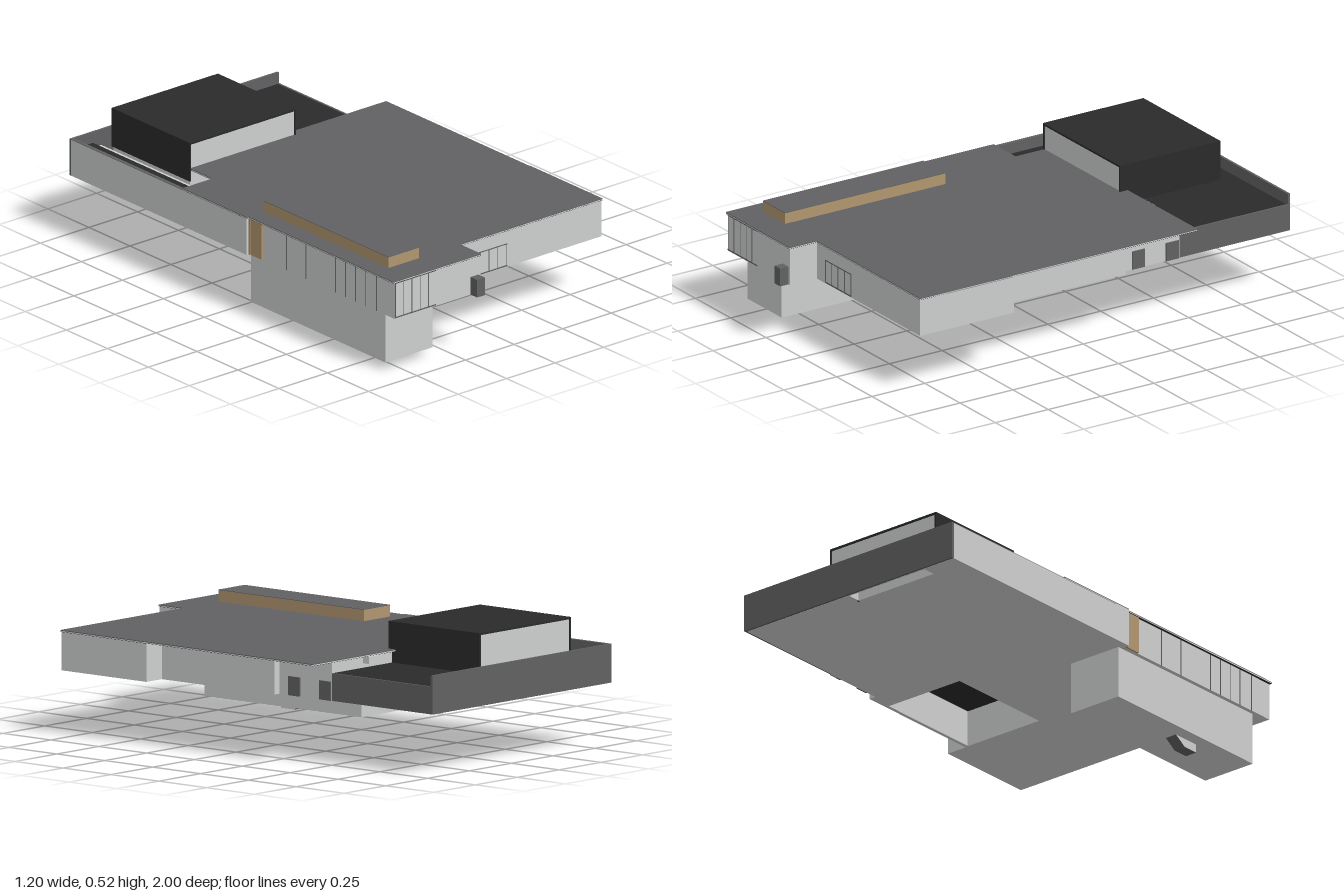
import * as THREE from 'three';

export function createModel() {
  const model = new THREE.Group();
  const mat = (name, color) => {
    const m = new THREE.MeshStandardMaterial({ color });
    m.name = name;
    return m;
  };
  const light = mat('light wall', 0xcdcfce);
  const gray = mat('dark grey', 0x616163);
  const black = mat('black', 0x2a2a2a);
  const wood = mat('wood', 0xb0966f);

  const add = (name, geo, material) => {
    const mesh = new THREE.Mesh(geo, material);
    mesh.name = name;
    model.add(mesh);
    return mesh;
  };
  // Box given by its extents on each axis
  const box = (name, m, x0, x1, y0, y1, z0, z1) =>
    add(name, new THREE.BoxGeometry(x1 - x0, y1 - y0, z1 - z0), m)
      .position.set((x0 + x1) / 2, (y0 + y1) / 2, (z0 + z1) / 2);
  // Horizontal slab from a plan outline of [x, z] points, with optional holes
  const slab = (name, m, y0, y1, plan, holes = []) => {
    const pts = (p) => p.map(([x, z]) => new THREE.Vector2(x, -z));
    const shape = new THREE.Shape(pts(plan));
    holes.forEach((h) => shape.holes.push(new THREE.Path(pts(h))));
    const geo = new THREE.ExtrudeGeometry(shape, { depth: y1 - y0, bevelEnabled: false });
    add(name, geo.rotateX(-Math.PI / 2).translate(0, y0, 0), m);
  };
  const rect = (x0, x1, z0, z1) => [[x0, z0], [x1, z0], [x1, z1], [x0, z1]];

  const B = 0.25, T = 0.403, t = 0.012;

  // Floor, open under the side terrace and the rear light well
  slab('floor', light, B, B + 0.006, [
    [-0.597, -0.988], [0.465, -0.988], [0.465, -0.19], [0.49, -0.19], [0.49, 0.4], [0.585, 0.4],
    [0.585, 0.825], [-0.145, 0.825], [-0.145, 0.95], [-0.575, 0.95], [-0.575, 0.08], [-0.597, 0.08],
  ], [rect(0.12, 0.485, -0.1, 0.385), rect(-0.445, -0.05, -0.985, -0.92)]);

  // Main roof: grey cap, light fascia and black soffit
  const roofPlan = [
    [-0.445, -0.48], [0.592, -0.48], [0.592, 0.395], [0.595, 0.395], [0.595, 0.835], [-0.138, 0.835],
    [-0.138, 0.963], [-0.59, 0.963], [-0.59, 0.08], [-0.6, 0.08], [-0.6, -0.312], [-0.445, -0.312],
  ];
  slab('roofCap', gray, 0.408, 0.411, roofPlan);
  slab('roofFascia', light, T + 0.001, 0.408, roofPlan);
  slab('roofSoffit', black, T, T + 0.001, roofPlan);

  // Outer walls
  const walls = [
    [-0.58, -0.14, 0.96 - t, 0.96],
    [-0.14 - t, -0.14, 0.83, 0.96],
    [-0.14, 0.592, 0.833 - t, 0.833],
    [0.592 - t, 0.592, 0.4, 0.83],
    [0.12, 0.592, 0.388, 0.4],
    [0.49, 0.5, -0.19, 0.39],
    [0.458, 0.47, -0.475, -0.19],
    [0.458, 0.5, -0.2, -0.19],
    [0.11, 0.12, -0.1, 0.39],
    [-0.58, -0.58 + t, 0.08, 0.96],
    [-0.6, -0.6 + t, -0.99, 0.08],
    [0.09, 0.47, -0.462, -0.45],
    [-0.588, -0.445, -0.312, -0.302],
  ];
  walls.forEach(([x0, x1, z0, z1]) => box('wall', light, x0, x1, B, T, z0, z1));

  // Rear yard: tall back wall, low side wall and low black roofs
  box('rearWall', gray, -0.6, 0.47, B, 0.405, -1, -0.99);
  box('rearSideWall', gray, 0.462, 0.47, B, 0.36, -0.99, -0.475);
  box('yardWallLining', gray, -0.588, -0.585, 0.36, T, -0.99, -0.312);
  box('yardWallCoping', gray, -0.6, -0.585, T, 0.405, -0.99, -0.312);
  box('rearLowRoof', black, -0.05, 0.462, 0.348, 0.357, -0.99, -0.45);
  box('rearLowInnerWall', light, -0.05, -0.04, B + 0.006, 0.348, -0.99, -0.92);
  box('sideLowRoof', black, -0.588, -0.487, 0.35, 0.36, -0.99, -0.312);
  box('sideLowInnerWall', light, -0.498, -0.488, B + 0.006, 0.35, -0.99, -0.312);
  box('sideWalkway', light, -0.488, -0.445, 0.33, 0.34, -0.99, -0.312);
  box('rearVent', light, 0.2, 0.27, 0.375, T, -0.492, -0.462);

  // Raised block: light body wrapped by black sides and top
  box('upperBody', light, -0.443, 0.09, 0.36, 0.513, -0.915, -0.449);
  box('upperBase', light, -0.443, -0.05, B + 0.006, 0.36, -0.918, -0.45);
  box('upperTop', black, -0.45, 0.097, 0.513, 0.521, -0.92, -0.444);
  box('upperSide', black, 0.09, 0.097, 0.357, 0.513, -0.92, -0.444);
  box('upperSide', black, -0.45, -0.443, 0.357, 0.513, -0.92, -0.444);

  // Rooftop skylight clad in wood
  box('skylightBody', wood, -0.512, -0.355, 0.411, 0.456, 0.08, 0.84);
  box('skylightTop', gray, -0.512, -0.355, 0.456, 0.458, 0.08, 0.84);

  // Wooden side entrance
  box('woodPanel', wood, -0.59, -0.36, B, T, 0.08, 0.088);
  box('woodDoor', wood, -0.587, -0.58, B, T, 0.088, 0.155);

  // Lower level
  box('basement', light, -0.562, -0.318, 0.035, B, 0.06, 0.88);

  // Wedge-shaped foot under the lower level
  const foot = new THREE.Shape([[-0.6, 0], [-0.53, 0], [-0.475, 0.036], [-0.6, 0.036]]
    .map(([a, b]) => new THREE.Vector2(a, b)));
  const footGeo = new THREE.ExtrudeGeometry(foot, { depth: 0.052, bevelEnabled: false });
  add('foot', footGeo.rotateY(Math.PI / 2).translate(-0.507, 0, 0), [light, gray]);

  // Entrance box on the front
  box('entranceBox', gray, -0.19, -0.15, B, 0.325, 0.96, 1);

  // Front windows: thin rails and mullions
  const windowFrame = (x0, x1, y0, y1, z, xs) => {
    box('windowSill', gray, x0, x1, y0, y0 + 0.005, z, z + 0.0015);
    box('windowHead', gray, x0, x1, y1 - 0.004, y1, z, z + 0.0015);
    xs.forEach((x) => box('mullion', gray, x - 0.0015, x + 0.0015, y0, y1, z, z + 0.001));
  };
  windowFrame(-0.58, -0.37, 0.253, 0.403, 0.96, [-0.577, -0.535, -0.492, -0.45, -0.408]);
  windowFrame(-0.08, 0.105, 0.253, 0.35, 0.833, [-0.078, -0.034, 0.011, 0.057, 0.103]);

  // Side window mullions
  [0.3, 0.42, 0.6, 0.66, 0.72, 0.78, 0.85].forEach((z) =>
    box('sideMullion', gray, -0.582, -0.58, B, T, z - 0.0015, z + 0.0015));

  // Doors on the recessed side wall
  [-0.28, -0.44].forEach((z) => box('sideDoor', gray, 0.47, 0.475, B, 0.326, z - 0.03, z + 0.03));

  return model;
}
